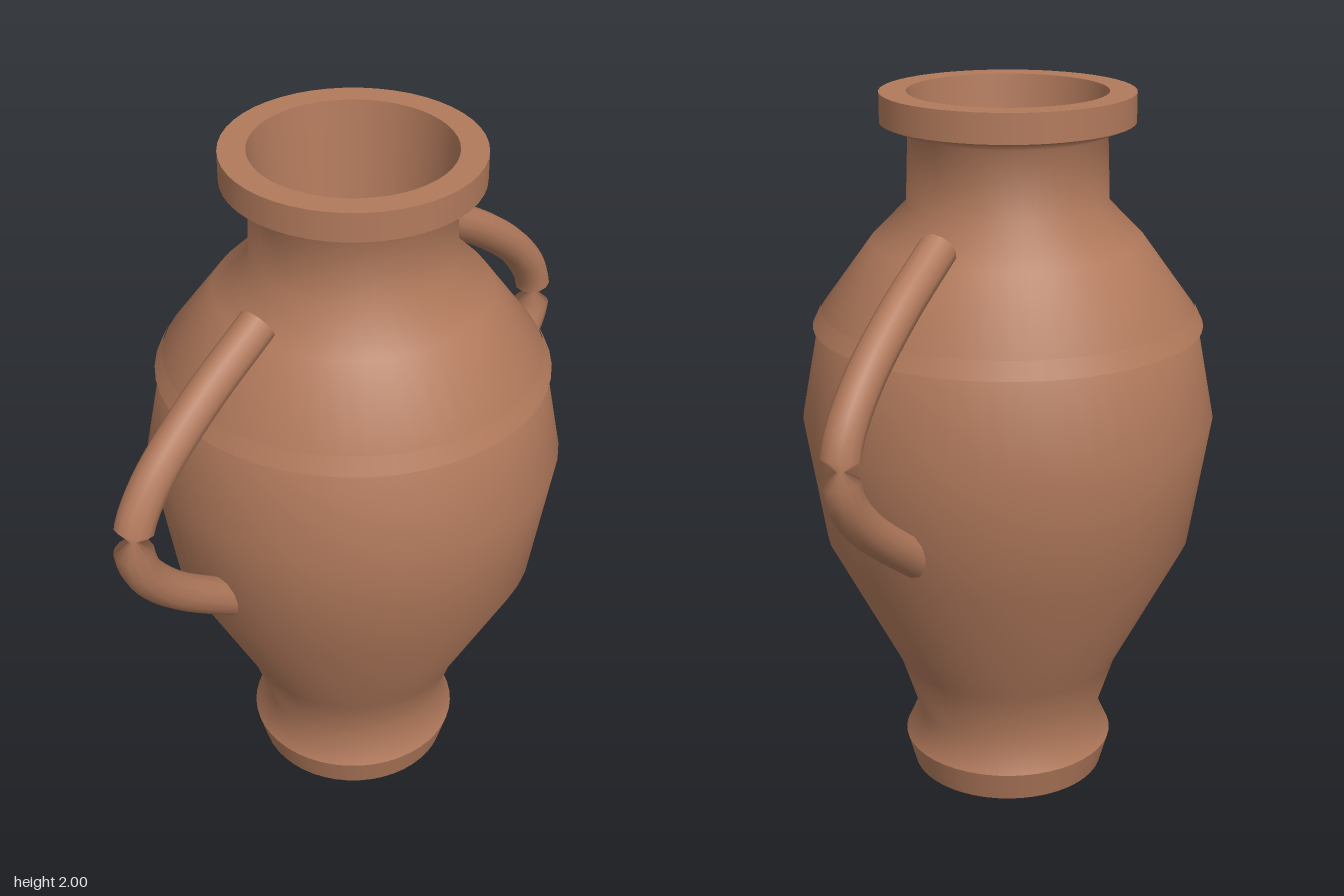
import * as THREE from 'three';

const clay = new THREE.MeshStandardMaterial({ color: 0xb27a5c });
clay.name = 'terracotta';

// Turned part from a profile of [radius, height] pairs
function turned(name, profile) {
  const points = profile.map(([r, y]) => new THREE.Vector2(r, y));
  const mesh = new THREE.Mesh(new THREE.LatheGeometry(points, 48), clay);
  mesh.name = name;
  return mesh;
}

// Bent round handle, pinched to a narrow waist at one height
function handle(name, path, pinchY) {
  const group = new THREE.Group();
  group.name = name;
  const radius = 0.052, rings = 40, sides = 12;
  const curve = new THREE.CatmullRomCurve3(path.map(([x, y]) => new THREE.Vector3(x, y, 0)));
  const tube = new THREE.TubeGeometry(curve, rings, radius, sides, false);

  // Find the ring nearest the waist and draw it in toward the centre line
  let waist = 0;
  for (let i = 1; i <= rings; i++) {
    const gap = (k) => Math.abs(curve.getPointAt(k / rings).y - pinchY);
    if (gap(i) < gap(waist)) waist = i;
  }
  const centre = curve.getPointAt(waist / rings);
  const pos = tube.attributes.position;
  const v = new THREE.Vector3();
  for (let j = 0; j <= sides; j++) {
    const k = waist * (sides + 1) + j;
    v.fromBufferAttribute(pos, k).lerp(centre, 0.8);
    pos.setXYZ(k, v.x, v.y, v.z);
  }
  const bar = new THREE.Mesh(tube, clay);
  bar.name = name + 'Bar';
  group.add(bar);

  // Flat ends
  for (const [t, sign] of [[0, -1], [1, 1]]) {
    const cap = new THREE.Mesh(new THREE.CircleGeometry(radius, sides), clay);
    cap.name = name + 'End';
    const p = curve.getPointAt(t);
    cap.position.copy(p);
    cap.lookAt(p.clone().addScaledVector(curve.getTangentAt(t), sign));
    group.add(cap);
  }
  return group;
}

export function createModel() {
  const jar = new THREE.Group();
  jar.name = 'twoHandledJar';

  // Foot
  jar.add(turned('footUnderside', [[0, 0], [0.28, 0]]));
  jar.add(turned('footBand', [[0.28, 0], [0.305, 0.09]]));

  // Belly, shoulder and neck
  jar.add(turned('body', [
    [0.305, 0.09], [0.265, 0.18], [0.32, 0.35], [0.52, 0.74], [0.577, 1.1],
    [0.52, 1.4], [0.375, 1.6], [0.277, 1.7], [0.27, 1.89], [0.345, 1.92],
  ]));

  // Raised line around the shoulder
  jar.add(turned('shoulderRingUnderside', [[0.515, 1.362], [0.541, 1.362]]));
  jar.add(turned('shoulderRing', [[0.541, 1.362], [0.518, 1.41]]));

  // Lip and mouth
  jar.add(turned('lipBand', [[0.345, 1.92], [0.345, 2]]));
  jar.add(turned('lipTop', [[0.345, 2], [0.272, 2]]));
  jar.add(turned('mouthWall', [[0.272, 2], [0.262, 1.9], [0.238, 1.65]]));
  jar.add(turned('mouthFloor', [[0.238, 1.65], [0, 1.65]]));

  // Handles
  jar.add(handle('leftHandle', [
    [0.365, 1.648], [0.57, 1.52], [0.73, 1.39], [0.82, 1.27], [0.838, 1.18],
    [0.82, 1.11], [0.74, 1.01], [0.55, 0.865], [0.47, 0.81],
  ], 1.18));
  jar.add(handle('rightHandle', [
    [-0.365, 1.648], [-0.58, 1.52], [-0.75, 1.385], [-0.82, 1.29], [-0.838, 1.235],
    [-0.835, 1.18], [-0.81, 1.11], [-0.72, 1.0], [-0.55, 0.865], [-0.47, 0.81],
  ], 1.235));

  return jar;
}
